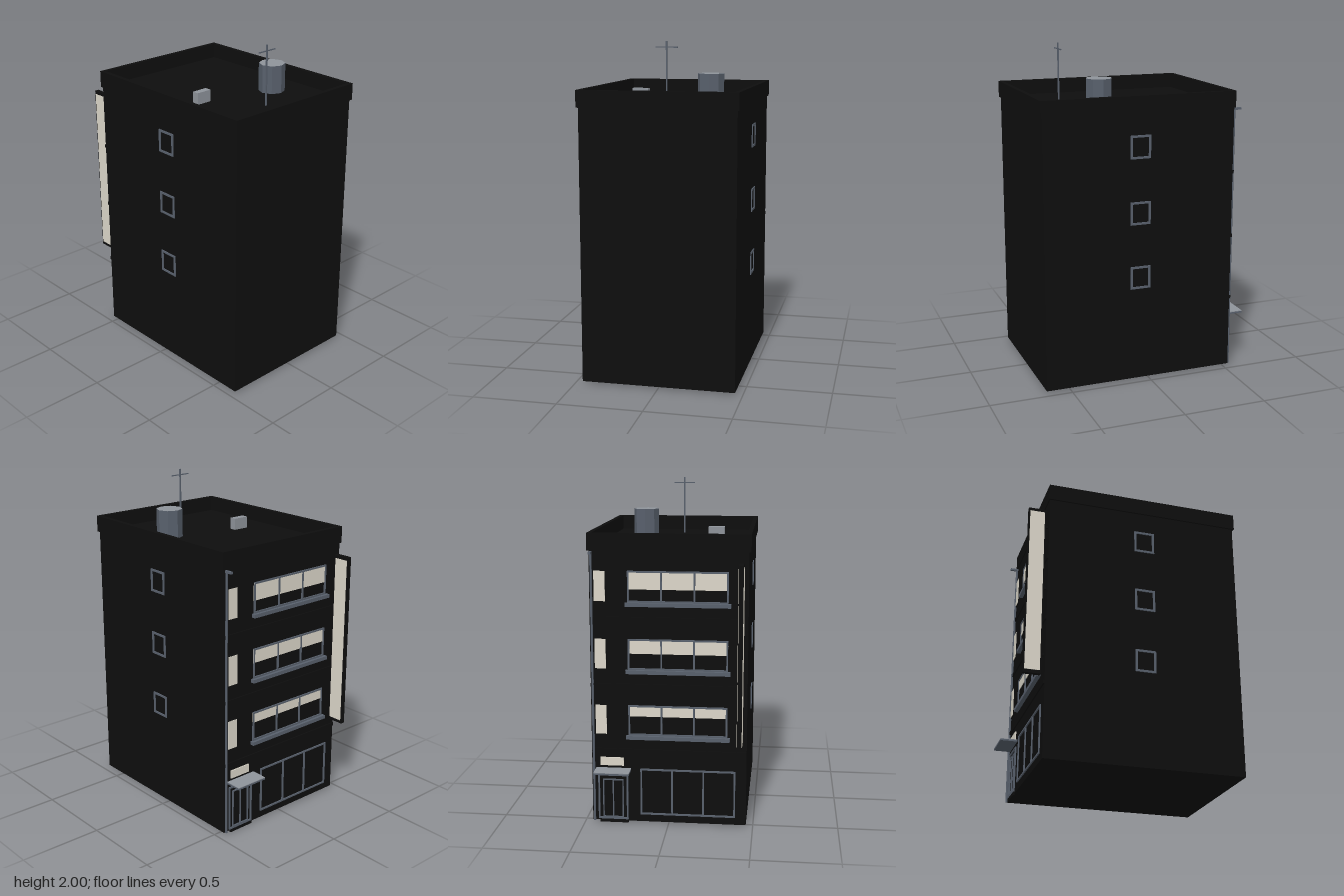
import * as THREE from 'three';

const mat = (name, color) => {
  const m = new THREE.MeshStandardMaterial({ color });
  m.name = name;
  return m;
};

export function createModel() {
  const wall = mat('blackWall', 0x0e0e0e);
  const metal = mat('greyMetal', 0x58606c);
  const pale = mat('paleMetal', 0x8e939a);
  const cream = mat('creamLight', 0xdcd7ca);

  const model = new THREE.Group();
  model.name = 'building';

  // Box given by its extents on each axis
  const box = (name, m, [x0, x1], [y0, y1], [z0, z1], parent = model) => {
    const mesh = new THREE.Mesh(new THREE.BoxGeometry(x1 - x0, y1 - y0, z1 - z0), m);
    mesh.position.set((x0 + x1) / 2, (y0 + y1) / 2, (z0 + z1) / 2);
    mesh.name = name;
    parent.add(mesh);
    return mesh;
  };
  const group = (name) => {
    const g = new THREE.Group();
    g.name = name;
    model.add(g);
    return g;
  };

  const L = -0.459, R = 0.455, B = -0.535, F = 0.645;

  // Main block and hollow parapet
  box('body', wall, [L, R], [0.01, 1.64], [B, F]);
  const rect = (s, x0, x1, z0, z1) => {
    s.moveTo(x0, -z0); s.lineTo(x0, -z1); s.lineTo(x1, -z1); s.lineTo(x1, -z0); s.closePath();
    return s;
  };
  const ring = rect(new THREE.Shape(), L - 0.011, R + 0.011, B - 0.006, F + 0.01);
  ring.holes.push(rect(new THREE.Path(), L + 0.015, R - 0.015, B + 0.02, F - 0.015));
  const parapet = new THREE.Mesh(
    new THREE.ExtrudeGeometry(ring, { depth: 0.1, bevelEnabled: false }).rotateX(-Math.PI / 2), wall);
  parapet.position.y = 1.63;
  parapet.name = 'parapet';
  model.add(parapet);

  // Roof equipment
  const tank = new THREE.Mesh(
    new THREE.CylinderGeometry(0.079, 0.079, 0.17, 8).toNonIndexed(), [metal, pale, metal]);
  tank.geometry.computeVertexNormals();
  tank.position.set(0.226, 1.725, 0.23);
  tank.name = 'waterTank';
  model.add(tank);
  box('roofUnit', pale, [-0.28, -0.18], [1.64, 1.71], [0.09, 0.132]);
  box('antennaMast', metal, [-0.004, 0.004], [1.64, 2], [0.401, 0.409]);
  box('antennaBar', metal, [-0.066, 0.066], [1.961, 1.967], [0.402, 0.408]);

  // Rectangular frame on the street facade, split into equal panes
  const streetFrame = (g, x0, x1, y0, y1, panes, t = 0.01) => {
    const z = [B - 0.008, B];
    box('frameTop', metal, [x0, x1], [y1 - t, y1], z, g);
    box('frameBottom', metal, [x0, x1], [y0, y0 + t], z, g);
    for (let i = 0; i <= panes; i++) {
      const x = x0 + (x1 - x0 - t) * i / panes;
      box('frameUpright', metal, [x, x + t], [y0, y1], z, g);
    }
  };

  // Three upper floors
  const blinds = [0.065, 0.085, 0.105];
  for (let f = 0; f < 3; f++) {
    const y = 0.545 + f * 0.395;
    const wide = group('wideWindow');
    box('blind', cream, [-0.345, 0.235], [y + 0.18 - blinds[f], y + 0.18], [B - 0.004, B], wide);
    streetFrame(wide, -0.345, 0.235, y, y + 0.182, 3);
    box('sill', metal, [-0.36, 0.247], [y - 0.022, y], [B - 0.025, B], wide);

    const narrow = group('narrowWindow');
    box('narrowSurround', wall, [0.358, 0.432], [y, y + 0.187], [B - 0.006, B], narrow);
    box('narrowPane', cream, [0.363, 0.428], [y + 0.005, y + 0.18], [B - 0.009, B - 0.002], narrow);

    box('floorBand', wall, [L, R], [y - 0.105, y - 0.085], [B - 0.008, B]);

    // Small side windows on both flanks
    const y0 = 0.578 + f * 0.393, y1 = y0 + 0.138, t = 0.013;
    for (const x of [[L - 0.006, L], [R, R + 0.006]]) {
      const side = group('sideWindow');
      for (const v of [y0, y1 - t]) box('sideFrameRail', metal, x, [v, v + t], [-0.005, 0.12], side);
      for (const z of [-0.005, 0.12 - t]) box('sideFrameUpright', metal, x, [y0, y1], [z, z + t], side);
    }
  }

  // Shop front
  streetFrame(group('shopFront'), -0.395, 0.167, 0.055, 0.34, 3);

  // Entrance with step, double door, canopy and light panel
  const entrance = group('entrance');
  box('step', wall, [0.24, 0.41], [0, 0.02], [B - 0.008, B], entrance);
  streetFrame(entrance, 0.24, 0.42, 0.02, 0.3, 1);
  streetFrame(entrance, 0.268, 0.392, 0.03, 0.27, 2, 0.007);
  box('canopy', metal, [0.222, 0.43], [0.326, 0.336], [-0.638, B], entrance);
  box('canopyTop', pale, [0.222, 0.43], [0.336, 0.34], [-0.638, B], entrance);
  box('entranceLight', cream, [0.265, 0.405], [0.355, 0.405], [B - 0.007, B], entrance);

  // Drainpipe with outlet at the top
  const pipe = new THREE.Mesh(new THREE.CylinderGeometry(0.007, 0.007, 1.61, 8), metal);
  pipe.position.set(0.443, 0.815, B - 0.007);
  pipe.name = 'drainpipe';
  model.add(pipe);
  box('pipeOutlet', metal, [0.436, 0.45], [1.613, 1.626], [-0.585, B]);

  // Projecting vertical sign, lit on both sides
  const sign = group('verticalSign');
  box('signCase', wall, [-0.433, -0.407], [0.505, 1.57], [-0.655, -0.55], sign);
  for (const x of [[-0.436, -0.433], [-0.407, -0.404]])
    box('signPanel', cream, x, [0.525, 1.55], [-0.647, -0.558], sign);
  for (const y of [0.62, 1.04, 1.45])
    box('signBracket', wall, [-0.426, -0.414], [y, y + 0.015], [-0.55, B], sign);

  return model;
}
